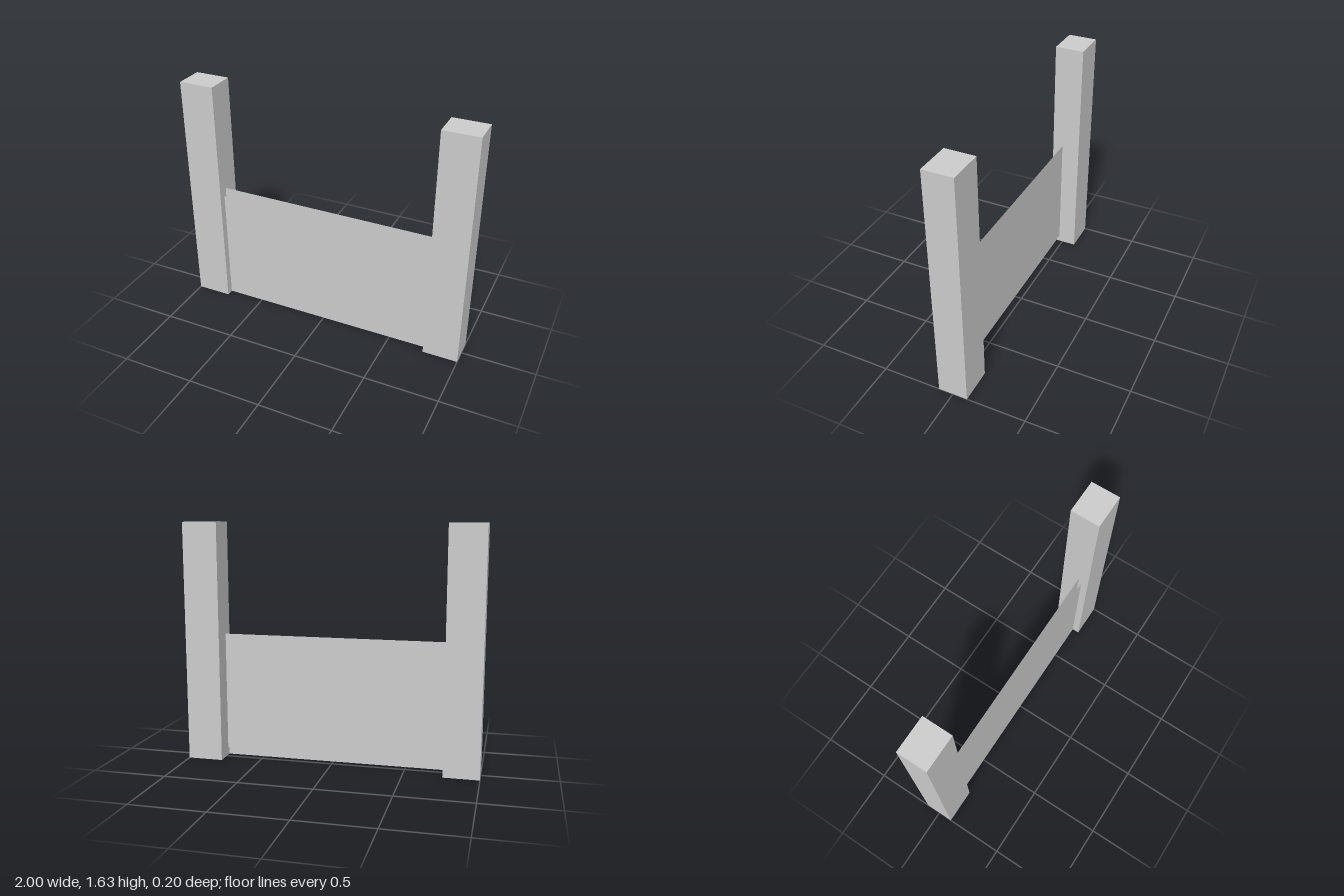
import * as THREE from 'three';

export function createModel() {
  const group = new THREE.Group();
  const solid = new THREE.MeshStandardMaterial({ color: 0xcccccc, flatShading: true });
  const sheet = new THREE.MeshStandardMaterial({ color: 0xcccccc, side: THREE.DoubleSide });

  const postWidth = 0.24, postDepth = 0.2, postHeight = 1.63;
  const panelWidth = 2 - 2 * postWidth, panelHeight = 0.815;

  // Square posts at both ends
  for (const [name, side] of [['leftPost', 1], ['rightPost', -1]]) {
    const post = new THREE.Mesh(new THREE.BoxGeometry(postWidth, postHeight, postDepth), solid);
    post.name = name;
    post.position.set(side * (1 - postWidth / 2), postHeight / 2, 0);
    group.add(post);
  }

  // Two thin panels between the posts, the rear one raised slightly
  for (const [name, bottom, z] of [['frontPanel', 0, 0.05], ['backPanel', 0.053, 0.027]]) {
    const panel = new THREE.Mesh(new THREE.PlaneGeometry(panelWidth, panelHeight), sheet);
    panel.name = name;
    panel.position.set(0, bottom + panelHeight / 2, z);
    group.add(panel);
  }

  return group;
}
